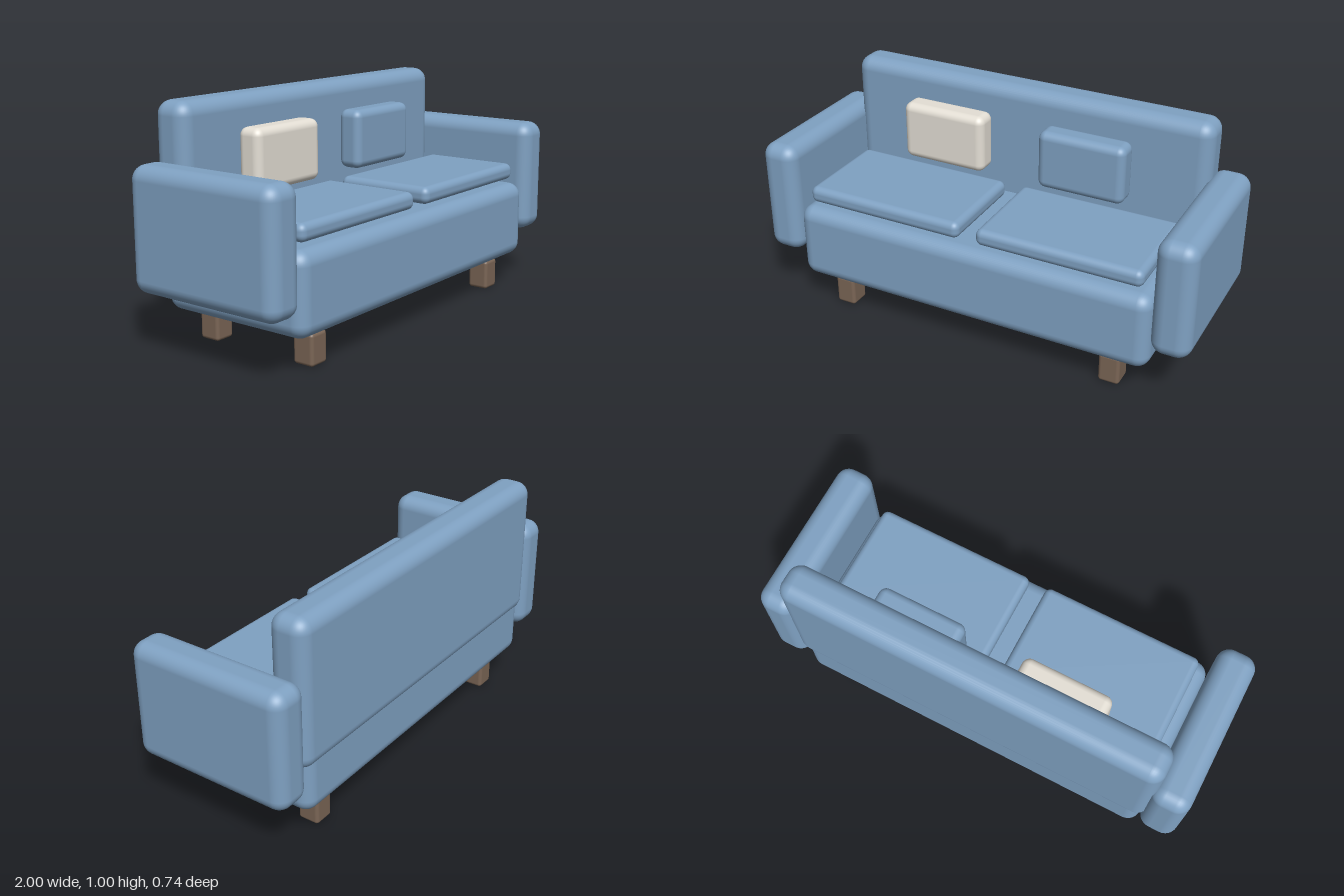
import * as THREE from 'three';
import { RoundedBoxGeometry } from 'three/addons/geometries/RoundedBoxGeometry.js';

const fabric = new THREE.MeshStandardMaterial({ color: 0x7fa1c2 });
const cream = new THREE.MeshStandardMaterial({ color: 0xe4dfd5 });
const wood = new THREE.MeshStandardMaterial({ color: 0x7a6555 });

// Soft-edged block given by its extents along each axis
function block(name, [x0, x1], [y0, y1], [z0, z1], radius, material) {
  const geometry = new RoundedBoxGeometry(x1 - x0, y1 - y0, z1 - z0, 5, radius);
  const mesh = new THREE.Mesh(geometry, material);
  mesh.position.set((x0 + x1) / 2, (y0 + y1) / 2, (z0 + z1) / 2);
  mesh.name = name;
  return mesh;
}

export function createModel() {
  const sofa = new THREE.Group();
  sofa.name = 'sofa';

  // Main body
  sofa.add(block('base', [-0.83, 0.83], [0.145, 0.49], [-0.36, 0.36], 0.06, fabric));
  sofa.add(block('backrest', [-0.855, 0.855], [0.36, 1], [-0.37, -0.2], 0.06, fabric));

  // Parts mirrored left and right
  for (const [side, s] of [['left', 1], ['right', -1]]) {
    const span = (a, b) => (s > 0 ? [a, b] : [-b, -a]);
    sofa.add(block(side + 'Arm', span(0.83, 1), [0.25, 0.765], [-0.37, 0.37], 0.06, fabric));
    sofa.add(block(side + 'SeatCushion', span(0.04, 0.78), [0.51, 0.585], [-0.135, 0.325], 0.03, fabric));
    sofa.add(block(side + 'FrontLeg', span(0.603, 0.697), [0, 0.135], [0.2, 0.297], 0.015, wood));
    sofa.add(block(side + 'BackLeg', span(0.603, 0.697), [0, 0.135], [-0.297, -0.2], 0.015, wood));
  }

  // Throw pillows, slightly off the mirror line
  sofa.add(block('leftPillow', [0.12, 0.52], [0.605, 0.87], [-0.21, -0.095], 0.035, fabric));
  sofa.add(block('rightPillow', [-0.545, -0.145], [0.605, 0.87], [-0.21, -0.095], 0.035, cream));

  return sofa;
}
